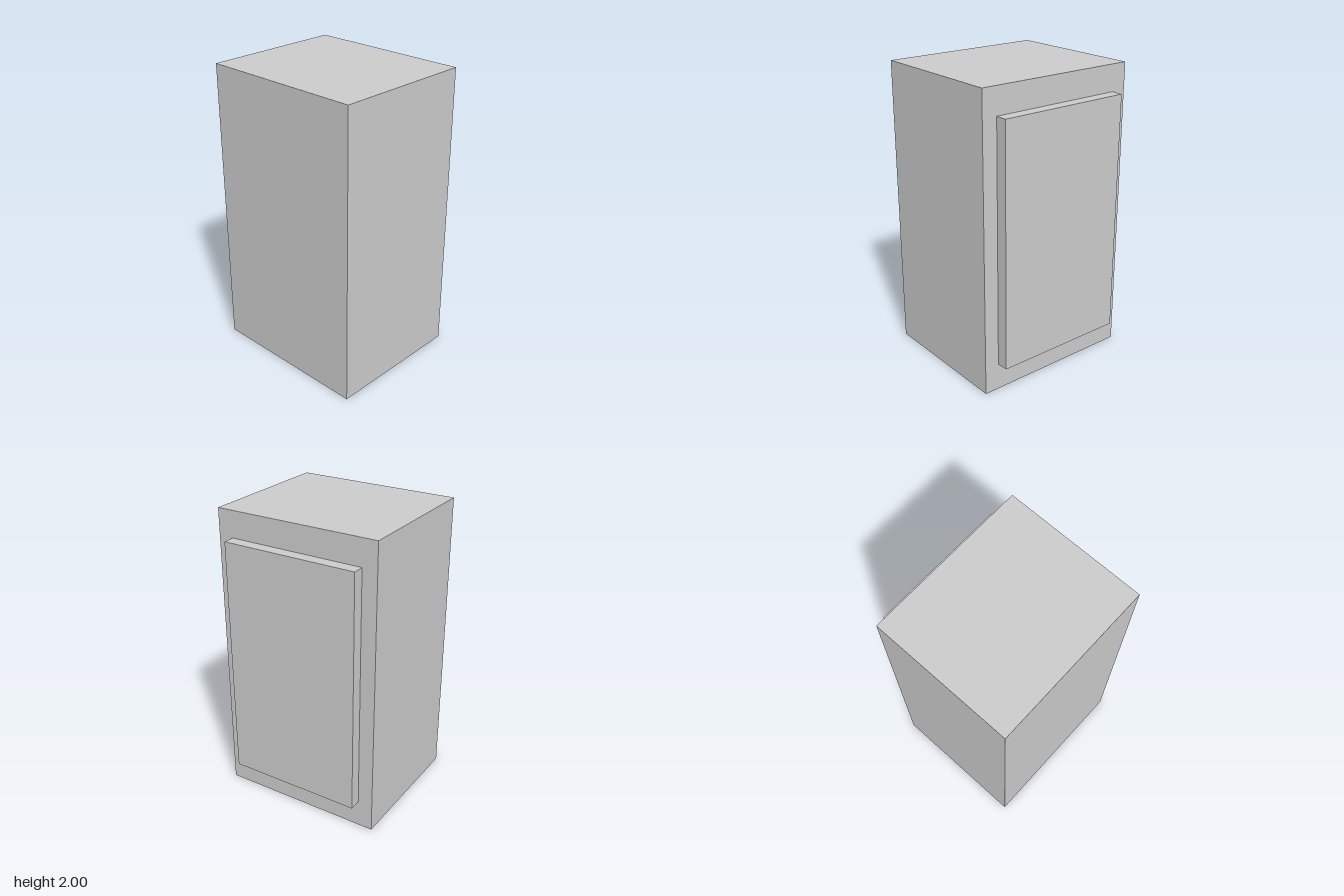
import * as THREE from 'three';

const material = new THREE.MeshStandardMaterial({ color: 0xcccccc, flatShading: true });

// Box given by its lower and upper corners
function block(name, min, max) {
  const size = max.map((v, i) => v - min[i]);
  const mesh = new THREE.Mesh(new THREE.BoxGeometry(...size), material);
  mesh.name = name;
  mesh.position.set(...max.map((v, i) => (v + min[i]) / 2));
  return mesh;
}

export function createModel() {
  const group = new THREE.Group();
  group.name = 'cabinet';

  // Tall plain body
  group.add(block('body', [-0.523, 0, -0.566], [0.443, 2, 0.566]));

  // Raised panel on the +x side
  group.add(block('sidePanel', [0.443, 0.183, -0.464], [0.523, 1.822, 0.464]));

  return group;
}
